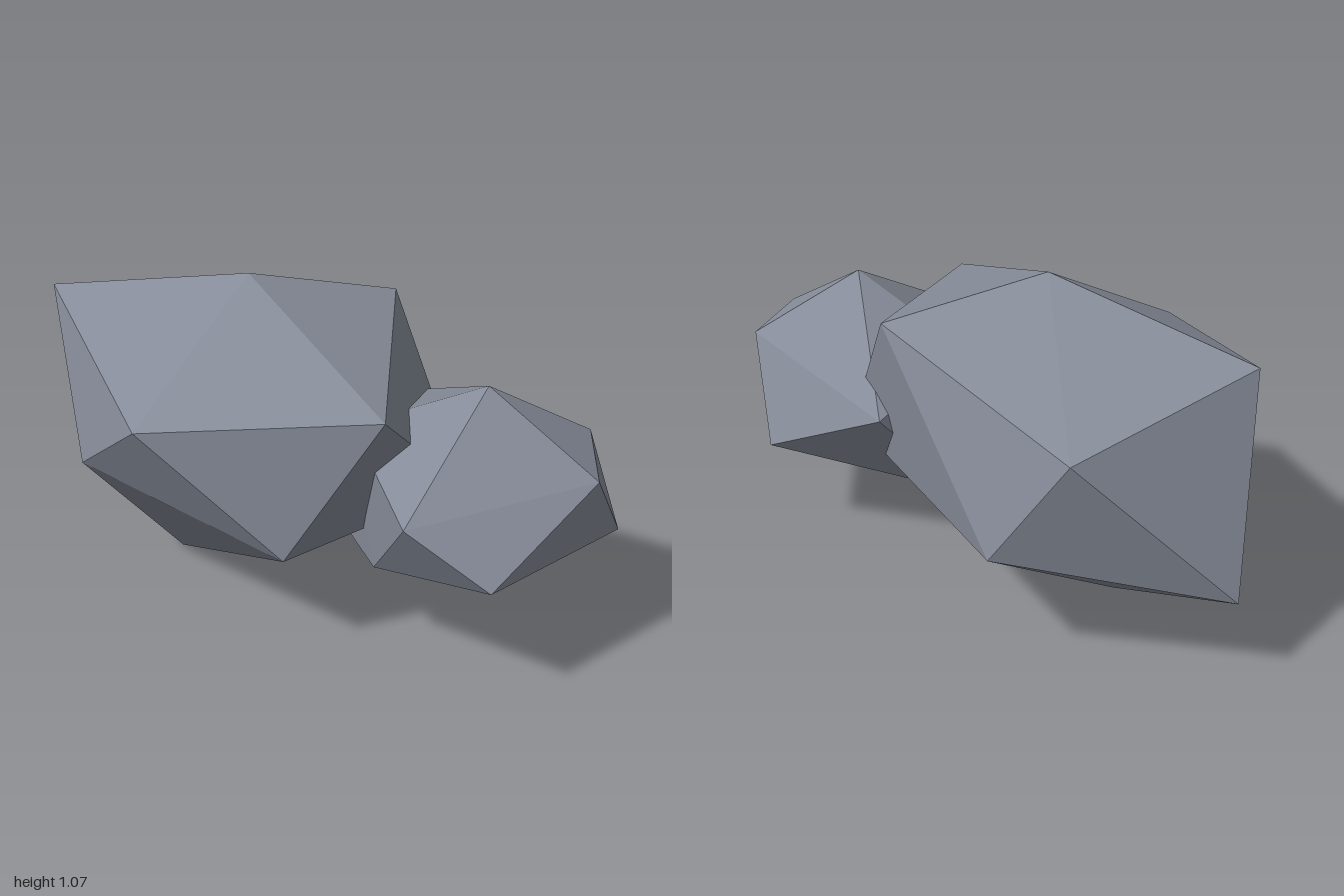
import * as THREE from 'three';

// Irregular twenty-sided rock: one pole, a ring of five, a second ring of five, the other pole.
function makeRock(name, material, poleA, ringA, ringB, poleB) {
  const positions = [];
  const face = (...corners) => corners.forEach((p) => positions.push(...p));
  for (let i = 0; i < 5; i++) {
    const j = (i + 1) % 5;
    face(poleA, ringA[i], ringA[j]);
    face(ringA[i], ringB[i], ringA[j]);
    face(ringB[i], ringB[j], ringA[j]);
    face(poleB, ringB[j], ringB[i]);
  }
  const geometry = new THREE.BufferGeometry();
  geometry.setAttribute('position', new THREE.Float32BufferAttribute(positions, 3));
  geometry.computeVertexNormals(); // unshared corners give flat facets
  const mesh = new THREE.Mesh(geometry, material);
  mesh.name = name;
  return mesh;
}

export function createModel() {
  const group = new THREE.Group();
  group.name = 'rocks';
  const stone = new THREE.MeshStandardMaterial({ color: 0x858b98, flatShading: true });
  stone.name = 'slate grey stone';

  // Large boulder
  group.add(makeRock('largeRock', stone,
    [-0.79, 0.93, 0.38],
    [[-0.15, 1.07, 0.06], [-0.76, 0.77, -0.25], [-1, 0.3, 0.19], [-0.37, 0.49, 0.59], [-0.01, 0.75, 0.64]],
    [[0.03, 0.94, -0.43], [-0.56, 0.4, -0.4], [-0.39, 0, 0.18], [0.36, 0.36, 0.37], [0.56, 0.83, 0.15]],
    [0.45, 0.39, -0.35]));

  // Small boulder sunk into its back left side
  group.add(makeRock('smallRock', stone,
    [0.99, 0.64, -0.32],
    [[0.63, 0.86, -0.22], [0.74, 0.59, 0.25], [0.97, 0.43, 0.12], [1, 0.44, -0.43], [0.77, 0.65, -0.56]],
    [[0.26, 0.66, -0.01], [0.51, 0.31, 0.13], [0.42, 0.25, -0.13], [0.5, 0.35, -0.64], [0.07, 0.58, -0.43]],
    [0.08, 0.22, -0.12]));

  return group;
}
